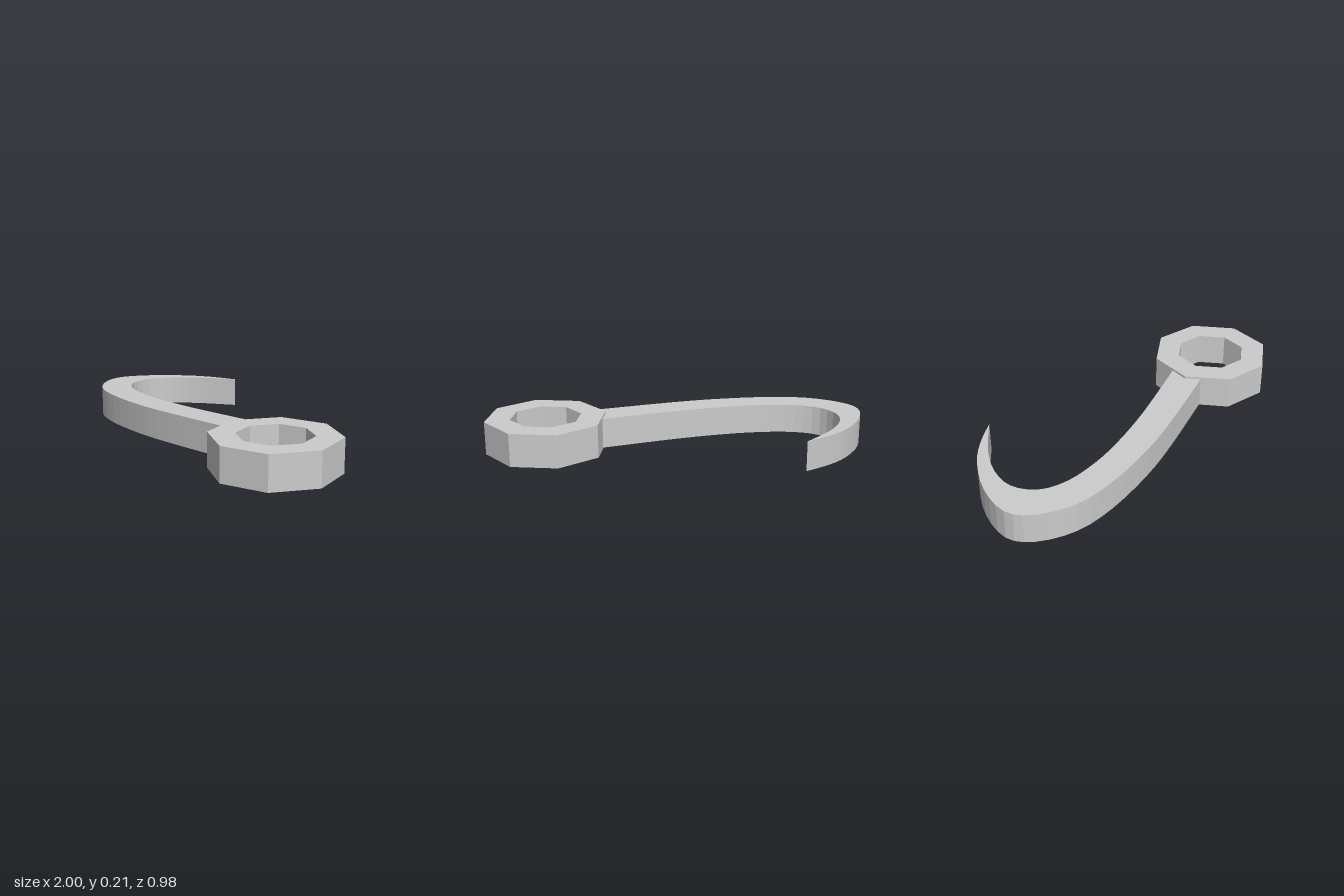
import * as THREE from 'three';

const material = new THREE.MeshStandardMaterial({ color: 0xcccccc, flatShading: true });

// Extrude a plan outline (x, -z) upward from y = 0
function slab(shape, height) {
  const geometry = new THREE.ExtrudeGeometry(shape, { depth: height, bevelEnabled: false });
  return geometry.rotateX(-Math.PI / 2);
}

const spline = (points, steps) =>
  new THREE.SplineCurve(points.map(([x, z]) => new THREE.Vector2(x, -z))).getPoints(steps);

function octagon(radius) {
  return Array.from({ length: 8 }, (_, i) => {
    const a = (i * Math.PI) / 4;
    return new THREE.Vector2(radius * Math.cos(a), radius * Math.sin(a));
  });
}

export function createModel() {
  const group = new THREE.Group();
  group.name = 'hookWithRing';

  // Octagonal eye ring
  const ringShape = new THREE.Shape(octagon(0.315));
  ringShape.holes.push(new THREE.Path(octagon(0.185).reverse()));
  const ring = new THREE.Mesh(slab(ringShape, 0.172), material);
  ring.name = 'eyeRing';
  ring.position.set(0.68, 0.035, 0.175);
  group.add(ring);

  // Curved hook: outer edge from the tip to the ring, inner edge back to the tip
  const outer = spline([
    [-0.49, -0.49], [-0.645, -0.43], [-0.78, -0.345], [-0.92, -0.2], [-1, -0.03], [-0.955, 0.105],
    [-0.8, 0.23], [-0.58, 0.29], [-0.29, 0.31], [-0.02, 0.298], [0.393, 0.254], [0.44, 0.247],
  ], 33);
  const inner = spline([
    [0.44, 0.076], [0.393, 0.083], [-0.02, 0.136], [-0.3, 0.152], [-0.5, 0.143], [-0.68, 0.103],
    [-0.8, 0.02], [-0.838, -0.11], [-0.785, -0.24], [-0.69, -0.345], [-0.6, -0.415], [-0.49, -0.49],
  ], 33);
  const hookGeometry = slab(new THREE.Shape([...outer, ...inner.slice(0, -1)]), 0.156);

  // Tilt the hook so it rises gently toward the ring
  const p = hookGeometry.attributes.position;
  for (let i = 0; i < p.count; i++) p.setY(i, p.getY(i) + 0.028 * (p.getX(i) + 1));
  hookGeometry.computeVertexNormals();
  const hook = new THREE.Mesh(hookGeometry, material);
  hook.name = 'hook';
  group.add(hook);

  return group;
}
